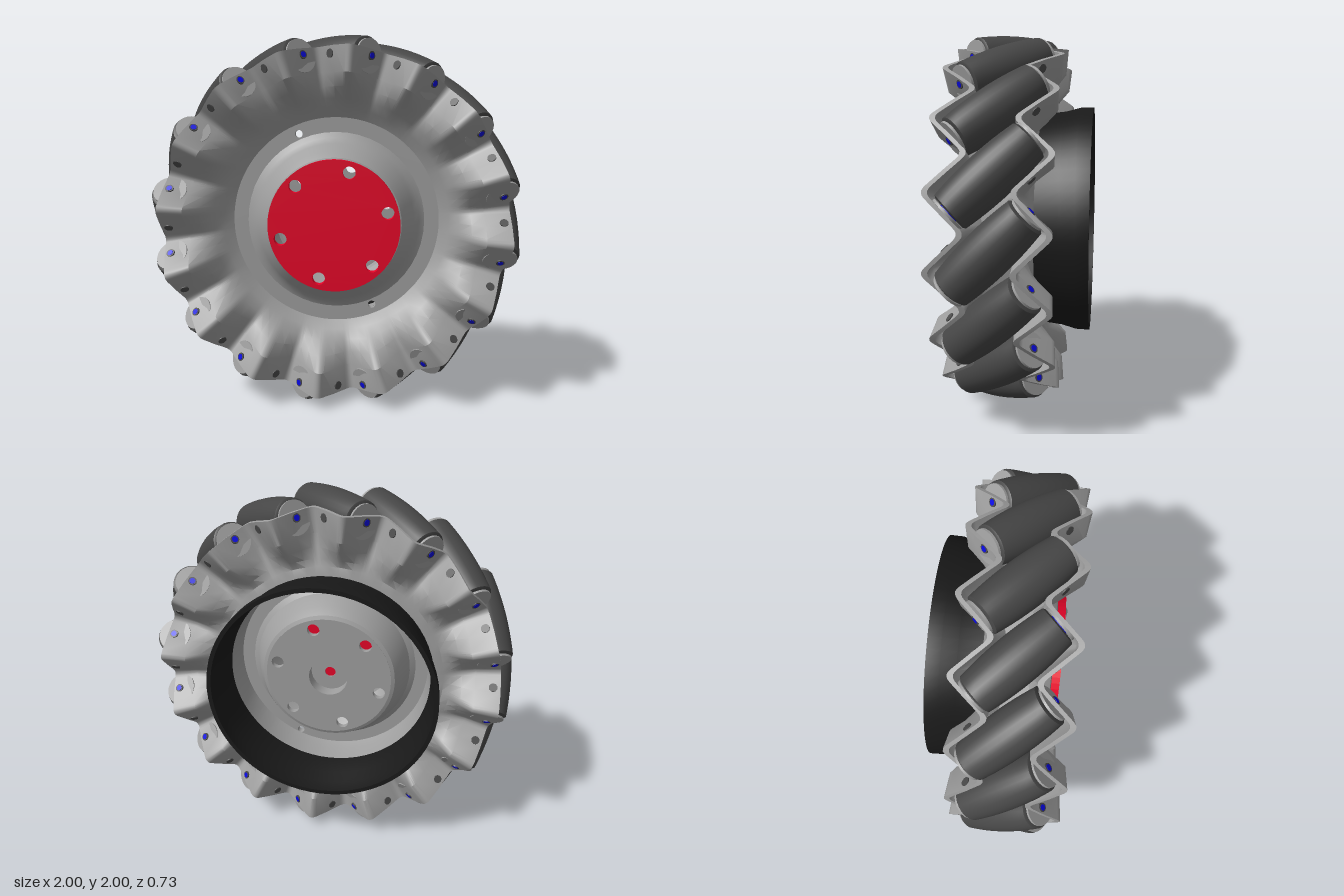
import * as THREE from 'three';
import { toCreasedNormals } from 'three/addons/utils/BufferGeometryUtils.js';

const COUNT = 16, PITCH = (Math.PI * 2) / COUNT;
const AXIS_R = 0.882, MID_Z = 0.07;

const mat = (name, color, side = THREE.FrontSide) => {
  const m = new THREE.MeshStandardMaterial({ color, side });
  m.name = name;
  return m;
};

const add = (parent, name, geometry, material) => {
  const mesh = new THREE.Mesh(geometry, material);
  mesh.name = name;
  parent.add(mesh);
  return mesh;
};

// Profile of [radius, z] turned around the wheel axle
const turned = (profile, segments = 48) => {
  const g = new THREE.LatheGeometry(profile.map(([r, z]) => new THREE.Vector2(r, z)), segments);
  return toCreasedNormals(g.rotateX(Math.PI / 2), 0.5);
};

// Flat disc between two z levels with round holes [x, y, radius]
const drilledDisc = (radius, z0, z1, holes) => {
  const shape = new THREE.Shape().absarc(0, 0, radius, 0, Math.PI * 2);
  for (const [x, y, r] of holes) shape.holes.push(new THREE.Path().absarc(x, y, r, 0, Math.PI * 2, true));
  const g = new THREE.ExtrudeGeometry(shape, { depth: z1 - z0, bevelEnabled: false, curveSegments: 32 });
  return g.translate(0, 0, z0);
};

// Ring of rows [radius, z, zigzag amount] swept around, its z following the rounded zigzag
function zigzagBody(rows) {
  const phases = [0, 0.17, 0.2, 0.23, 0.27, 0.3, 0.33, 0.5, 0.67, 0.7, 0.73, 0.77, 0.8, 0.83];
  const wave = [0, 0.68, 0.78, 0.84, 0.84, 0.78, 0.68, 0, -0.68, -0.78, -0.84, -0.84, -0.78, -0.68];
  const n = COUNT * phases.length, pos = [], idx = [];
  for (const [r, z, amount] of rows) {
    for (let j = 0; j < n; j++) {
      const k = j % phases.length;
      const a = (Math.floor(j / phases.length) + phases[k]) * PITCH;
      pos.push(r * Math.sin(a), r * Math.cos(a), z + 0.095 * amount * wave[k]);
    }
  }
  for (let i = 0; i < rows.length - 1; i++) {
    for (let j = 0; j < n; j++) {
      const a = i * n + j, b = a + n, c = i * n + (j + 1) % n, d = c + n;
      idx.push(a, c, b, b, c, d);
    }
  }
  const g = new THREE.BufferGeometry();
  g.setAttribute('position', new THREE.Float32BufferAttribute(pos, 3));
  g.setIndex(idx);
  return toCreasedNormals(g, 0.55);
}

export function createModel() {
  const root = new THREE.Group();
  root.name = 'omniWheel';
  const wheel = new THREE.Group();
  wheel.name = 'wheel';
  wheel.position.y = 1;
  root.add(wheel);

  const grey = mat('hub grey', 0x9e9e9e, THREE.DoubleSide);
  const rubber = mat('roller rubber', 0x464646);
  const black = mat('drum black', 0x191919, THREE.DoubleSide);
  const red = mat('cap red', 0xe60428);
  const blue = mat('bolt blue', 0x0808e0);
  const dark = mat('hole dark', 0x4c4c4c);

  // Two zigzag flanges joined by the core under the rollers, ending at the drum seat
  add(wheel, 'zigzagFlanges', zigzagBody([
    [0.57, 0.09, 0], [0.62, 0.12, 0], [0.67, 0.165, 0.15], [0.73, 0.225, 0.6], [0.8, 0.27, 1], [0.935, 0.283, 1],
    [0.935, 0.255, 1], [0.84, 0.25, 1], [0.77, 0.225, 0.8], [0.7, 0.14, 0.2],
    [0.7, 0.0, 0.2], [0.77, -0.085, 0.8], [0.84, -0.11, 1], [0.935, -0.115, 1],
    [0.935, -0.143, 1], [0.8, -0.132, 1], [0.73, -0.11, 0.6], [0.67, -0.088, 0.15], [0.63, -0.085, 0],
    [0.585, -0.1, 0], [0.565, -0.1, 0], [0.555, 0.0, 0], [0.54, 0.05, 0],
  ]), grey);

  // Web ring with two small through holes
  const webHoles = [113, 293].map((deg) => {
    const a = THREE.MathUtils.degToRad(deg);
    return [0.52 * Math.cos(a), 0.52 * Math.sin(a), 0.021];
  });
  add(wheel, 'web', drilledDisc(0.572, 0.05, 0.09, [[0, 0, 0.46], ...webHoles]), grey);

  // Raised bosses on both faces
  add(wheel, 'frontBoss', turned([
    [0.49, 0.09], [0.46, 0.105], [0.43, 0.145], [0.39, 0.21], [0.36, 0.25], [0.34, 0.256],
  ]), grey);
  add(wheel, 'backBoss', turned([[0.345, -0.13], [0.37, -0.12], [0.4, -0.07], [0.44, 0.03], [0.47, 0.05]]), grey);

  // Six bolt holes shared by the red cap and the back plate
  const boltHoles = Array.from({ length: 6 }, (_, i) => {
    const a = THREE.MathUtils.degToRad(14 + 60 * i);
    return [0.294 * Math.cos(a), 0.294 * Math.sin(a), 0.034];
  });
  add(wheel, 'redCap', drilledDisc(0.352, 0.255, 0.298, boltHoles), red);
  add(wheel, 'backPlate', drilledDisc(0.35, -0.13, -0.1, [[0, 0, 0.108], ...boltHoles]), grey);
  add(wheel, 'axleRecess', turned([[0.108, -0.125], [0.108, -0.06]], 32), grey);
  add(wheel, 'axleSeat', drilledDisc(0.112, -0.06, -0.052, [[0, 0, 0.03]]), grey);

  // Flared drum at the back
  add(wheel, 'backDrum', turned([
    [0.562, -0.098], [0.572, -0.22], [0.592, -0.29], [0.597, -0.37],
    [0.62, -0.37], [0.618, -0.3], [0.597, -0.22], [0.582, -0.09],
  ], 64), black);

  // Barrel profile that keeps the rollers on the wheel's outer circle
  const barrel = [new THREE.Vector2(0.001, -0.243), new THREE.Vector2(0.09, -0.243)];
  for (let i = -6; i <= 6; i++) {
    const s = (i / 6) * 0.236;
    barrel.push(new THREE.Vector2(1 - Math.sqrt(AXIS_R ** 2 + s * s / 2), s));
  }
  barrel.push(new THREE.Vector2(0.09, 0.243), new THREE.Vector2(0.001, 0.243));
  const rollerGeo = toCreasedNormals(new THREE.LatheGeometry(barrel, 28), 0.6);
  const earGeo = new THREE.CylinderGeometry(0.09, 0.09, 0.012, 24);
  const washerGeo = new THREE.CylinderGeometry(0.05, 0.05, 0.012, 16);
  const holeGeo = new THREE.CylinderGeometry(0.023, 0.023, 0.009, 14);
  const boltGeo = new THREE.CylinderGeometry(0.016, 0.016, 0.009, 12);
  const up = new THREE.Vector3(0, 1, 0);
  const along = new THREE.Vector3(1, 0, 1).normalize();
  const across = new THREE.Vector3(-1, 0, 1).normalize();

  for (let k = 0; k < COUNT; k++) {
    const station = new THREE.Group();
    station.name = 'rollerStation';
    station.rotation.z = -k * PITCH;
    wheel.add(station);

    // Roller at 45 degrees with its bolts, and ears showing past the flange rim
    const unit = new THREE.Group();
    unit.name = 'rollerUnit';
    unit.position.set(0, AXIS_R, MID_Z);
    unit.quaternion.setFromUnitVectors(up, along);
    station.add(unit);
    add(unit, 'roller', rollerGeo, rubber);
    for (const s of [-1, 1]) {
      add(unit, 'washer', washerGeo, blue).position.y = s * 0.247;
      add(unit, 'ear', earGeo, grey).position.y = s * 0.253;
      add(unit, 'boltHole', holeGeo, dark).position.y = s * 0.272;
      add(unit, 'bolt', boltGeo, blue).position.y = s * 0.274;

      // Small hole in the flange wall beside the roller
      const hole = add(station, 'flangeHole', holeGeo, dark);
      hole.position.set(-s * 0.02, 0.895, MID_Z + s * 0.19);
      hole.quaternion.setFromUnitVectors(up, across);
    }
  }
  return root;
}
